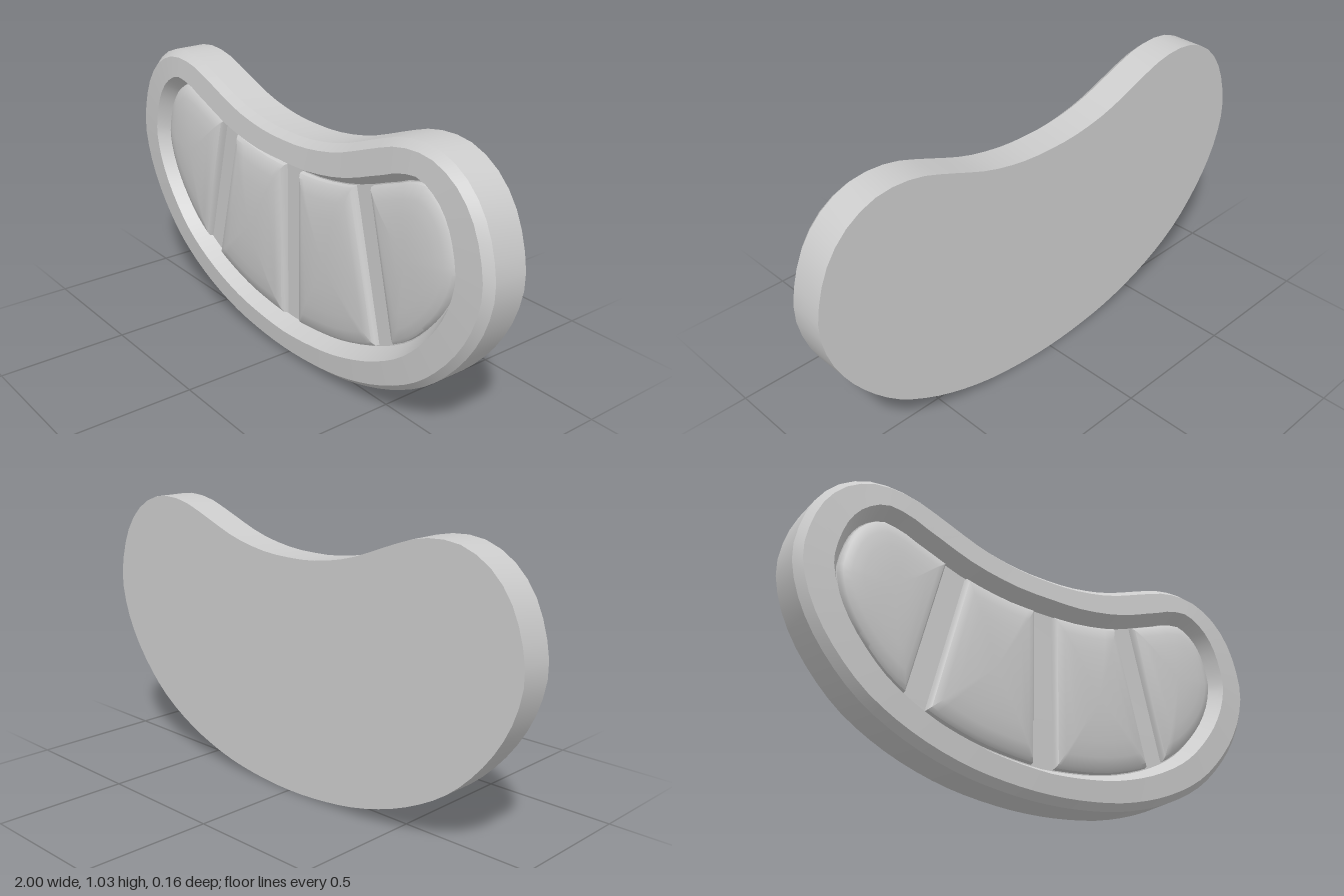
import * as THREE from 'three';
import { mergeVertices, toCreasedNormals } from 'three/addons/utils/BufferGeometryUtils.js';

// Right half of the bean outline, bottom centre to top centre
const HALF = [
  [0, 0], [0.18, 0.01], [0.36, 0.04], [0.56, 0.108], [0.73, 0.205], [0.85, 0.32], [0.935, 0.44],
  [0.985, 0.56], [1, 0.68], [0.95, 0.86], [0.87, 0.963], [0.77, 1.02], [0.67, 1.035],
  [0.56, 1.02], [0.46, 0.985], [0.28, 0.92], [0.12, 0.89], [0, 0.885],
];
const SEGMENTS = 80;

// Counter-clockwise outline as a smooth closed curve
const full = [...HALF, ...HALF.slice(1, -1).reverse().map(([x, y]) => [-x, y])];
const curve = new THREE.CatmullRomCurve3(full.map(([x, y]) => new THREE.Vector3(x, y, 0)), true);

// Outline moved inwards; side adds extra inset at the two ends
function outline(inset, side = 0) {
  const points = [];
  for (let i = 0; i < SEGMENTS; i++) {
    const p = curve.getPointAt(i / SEGMENTS);
    const t = curve.getTangentAt(i / SEGMENTS);
    const d = inset + side * Math.abs(t.y);
    points.push(new THREE.Vector2(p.x - t.y * d, p.y + t.x * d));
  }
  return points;
}

// Skin between rings of equal length, optionally closed by a centre point
function loft(rings, crease, tip) {
  const n = rings[0].length;
  const pos = rings.flat().flatMap((p) => [p.x, p.y, p.z]);
  const index = [];
  for (let r = 0; r < rings.length - 1; r++) {
    for (let i = 0; i < n; i++) {
      const a = r * n + i, b = r * n + (i + 1) % n;
      index.push(a, b, b + n, a, b + n, a + n);
    }
  }
  if (tip) {
    const last = (rings.length - 1) * n;
    pos.push(tip.x, tip.y, tip.z);
    for (let i = 0; i < n; i++) index.push(last + i, last + (i + 1) % n, rings.length * n);
  }
  const geo = new THREE.BufferGeometry();
  geo.setAttribute('position', new THREE.Float32BufferAttribute(pos, 3));
  geo.setIndex(index);
  return toCreasedNormals(mergeVertices(geo), crease);
}

const atZ = (points, z) => points.map((p) => new THREE.Vector3(p.x, p.y, z));

// Keeps the part of a polygon where dist(p) >= 0
function clip(points, dist) {
  const out = [];
  points.forEach((p, i) => {
    const q = points[(i + 1) % points.length];
    const dp = dist(p), dq = dist(q);
    if (dp >= 0) out.push(p);
    if (dp * dq < 0) out.push(p.clone().lerp(q, dp / (dp - dq)));
  });
  return out;
}

// Signed distance to the right of a line through two points
function rightOf(x0, y0, x1, y1) {
  const l = Math.hypot(x1 - x0, y1 - y0);
  return (p) => ((p.x - x0) * (y1 - y0) - (p.y - y0) * (x1 - x0)) / l;
}

// Pillow-shaped panel rising from the recess floor
function panelGeometry(points) {
  const area = THREE.ShapeUtils.area(points);
  const c = new THREE.Vector2();
  points.forEach((p, i) => {
    const q = points[(i + 1) % points.length];
    c.addScaledVector(p.clone().add(q), (p.x * q.y - q.x * p.y) / (6 * area));
  });
  const profile = [[1, 0.015], [0.985, 0.036], [0.94, 0.046], [0.8, 0.056], [0.6, 0.064], [0.3, 0.069]];
  const rings = profile.map(([s, z]) => atZ(points.map((p) => c.clone().lerp(p, s)), z));
  return loft(rings, 0.6, new THREE.Vector3(c.x, c.y, 0.07));
}

export function createModel() {
  const group = new THREE.Group();
  const grey = new THREE.MeshStandardMaterial({ color: 0xcccccc });
  grey.name = 'light grey';
  const add = (name, geo) => {
    const mesh = new THREE.Mesh(geo, grey);
    mesh.name = name;
    group.add(mesh);
    return mesh;
  };

  // Outer wall, chamfer, flat rim and sloped recess wall
  add('rim', loft([
    atZ(outline(0), -0.083),
    atZ(outline(0), 0.045),
    atZ(outline(0.025), 0.074),
    atZ(outline(0.1, 0.03), 0.081),
    atZ(outline(0.135, 0.03), 0.02),
  ], 0.3));

  // Flat back and recess floor
  const back = new THREE.ShapeGeometry(new THREE.Shape(outline(0)));
  back.rotateY(Math.PI);
  add('back', back).position.z = -0.083;
  add('recessFloor', new THREE.ShapeGeometry(new THREE.Shape(outline(0.135, 0.03)))).position.z = 0.02;

  // Four panels separated by a centre groove and two slanted grooves
  const inner = outline(0.138, 0.03);
  const slant = rightOf(0.52, 0.255, 0.38, 0.81);
  const half = 0.045;
  const middle = clip(clip(inner, (p) => p.x - half), (p) => -slant(p) - half);
  const end = clip(inner, (p) => slant(p) - half);
  const mirror = (points) => points.map((p) => new THREE.Vector2(-p.x, p.y)).reverse();
  add('leftMiddlePanel', panelGeometry(middle));
  add('leftEndPanel', panelGeometry(end));
  add('rightMiddlePanel', panelGeometry(mirror(middle)));
  add('rightEndPanel', panelGeometry(mirror(end)));

  return group;
}
